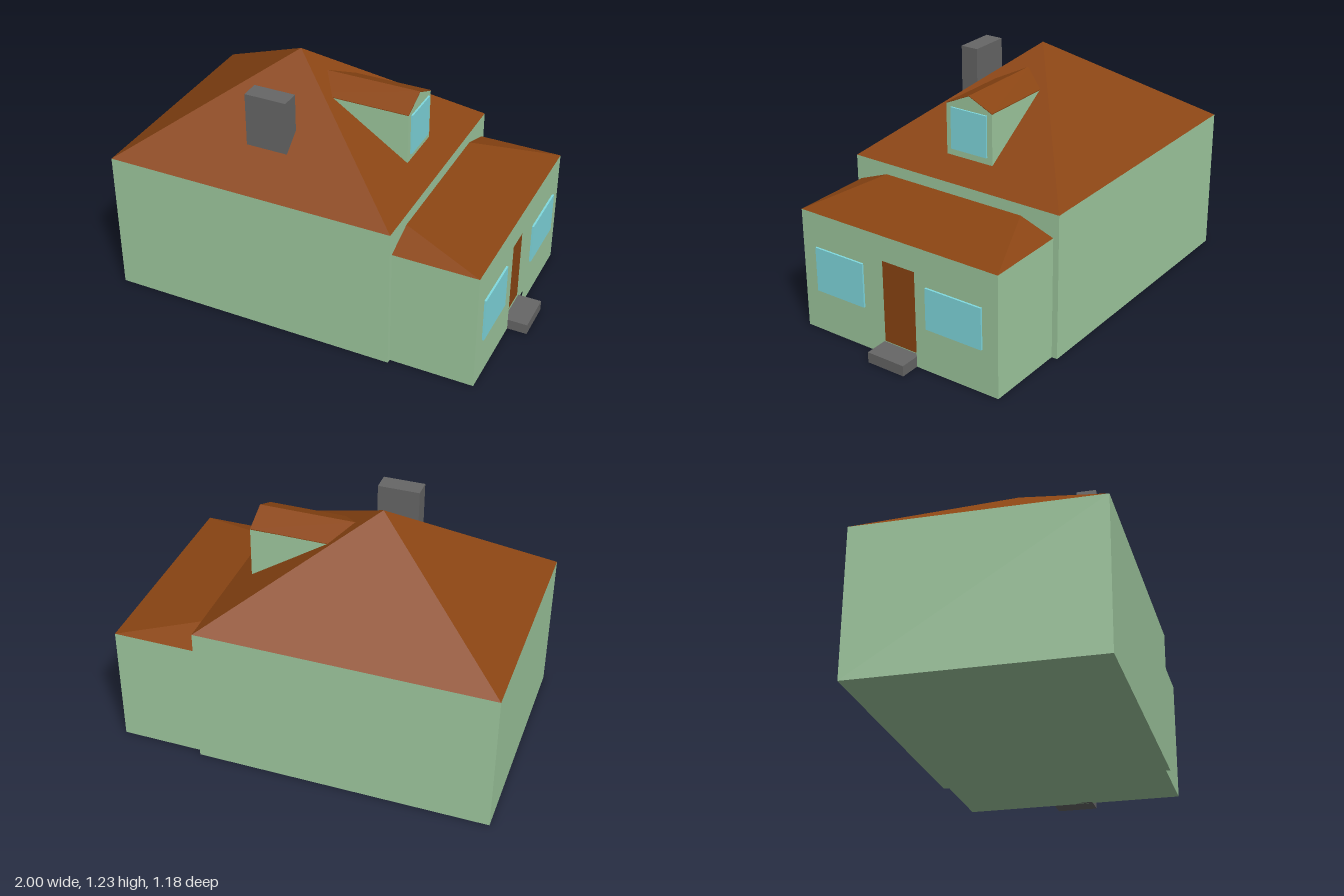
import * as THREE from 'three';

const paint = (color) => new THREE.MeshStandardMaterial({ color, flatShading: true });
const wall = paint(0x9fc99f);
const roof = paint(0x8b4513);
const glass = paint(0x80dae0);
const stone = paint(0x666666);

export function createModel() {
  const house = new THREE.Group();
  house.name = 'house';

  const add = (name, geometry, material) => {
    const mesh = new THREE.Mesh(geometry, material);
    mesh.name = name;
    house.add(mesh);
    return mesh;
  };

  // Box given by its limits on each axis
  const block = (name, material, [x0, x1], [y0, y1], [z0, z1]) =>
    add(name, new THREE.BoxGeometry(x1 - x0, y1 - y0, z1 - z0)
      .translate((x0 + x1) / 2, (y0 + y1) / 2, (z0 + z1) / 2), material);

  // Outline of [z, y] points, pushed along x from x0 to x1
  const prism = (name, material, points, x0, x1, hole) => {
    const outline = (list) => list.map(([z, y]) => new THREE.Vector2(-z, y));
    const shape = new THREE.Shape(outline(points));
    if (hole) shape.holes.push(new THREE.Path(outline(hole)));
    const geometry = new THREE.ExtrudeGeometry(shape, { depth: x1 - x0, bevelEnabled: false });
    return add(name, geometry.rotateY(Math.PI / 2).translate(x0, 0, 0), material);
  };
  const rect = (z0, z1, y0, y1) => [[z0, y0], [z1, y0], [z1, y1], [z0, y1]];

  // Main house with a four-sided pointed roof
  block('mainWalls', wall, [-1, 0.476], [0, 0.74], [-0.59, 0.59]);
  const pyramid = new THREE.ConeGeometry(Math.SQRT1_2, 1, 4, 1, true)
    .rotateY(Math.PI / 4).scale(1.476, 0.49, 1.18).translate(-0.262, 0.985, 0);
  add('mainRoof', pyramid, roof);
  block('chimney', stone, [-0.347, -0.135], [0.8, 1.165], [0.31, 0.405]);

  // Lower front room, its outer wall pierced by the doorway
  block('annexWalls', wall, [0.476, 0.87], [0, 0.62], [-0.56, 0.568]);
  prism('annexFrontWall', wall, rect(-0.56, 0.568, 0, 0.62), 0.87, 0.9,
    rect(-0.1, 0.108, 0.053, 0.493));
  block('door', roof, [0.868, 0.874], [0.053, 0.493], [-0.1, 0.108]);
  block('doorStep', stone, [0.88, 1], [0, 0.054], [-0.1, 0.108]);
  block('leftWindow', glass, [0.89, 0.91], [0.225, 0.436], [-0.475, -0.165]);
  block('rightWindow', glass, [0.89, 0.91], [0.216, 0.445], [0.2, 0.487]);

  // Lean-to roof with hipped ends
  const corners = [
    [0.476, 0.62, 0.568], [0.9, 0.62, 0.568], [0.9, 0.62, -0.56],
    [0.476, 0.62, -0.56], [0.476, 0.683, -0.382], [0.476, 0.683, 0.405],
  ];
  const faces = [0, 1, 5, 1, 2, 4, 1, 4, 5, 2, 3, 4, 0, 5, 4, 0, 4, 3];
  const leanTo = new THREE.BufferGeometry();
  leanTo.setAttribute('position',
    new THREE.Float32BufferAttribute(faces.flatMap((i) => corners[i]), 3));
  leanTo.computeVertexNormals();
  add('annexRoof', leanTo, roof);

  // Dormer running back into the main roof
  prism('dormerWalls', wall,
    [[-0.138, 0.82], [0.125, 0.82], [0.125, 1.077], [-0.006, 1.137], [-0.138, 1.077]], -0.13, 0.355);
  prism('dormerRoof', roof,
    [[-0.138, 1.076], [-0.006, 1.136], [0.125, 1.076], [0.125, 1.08], [-0.006, 1.14], [-0.138, 1.08]],
    -0.13, 0.355);
  block('dormerWindow', glass, [0.345, 0.364], [0.855, 1.065], [-0.109, 0.095]);

  return house;
}
